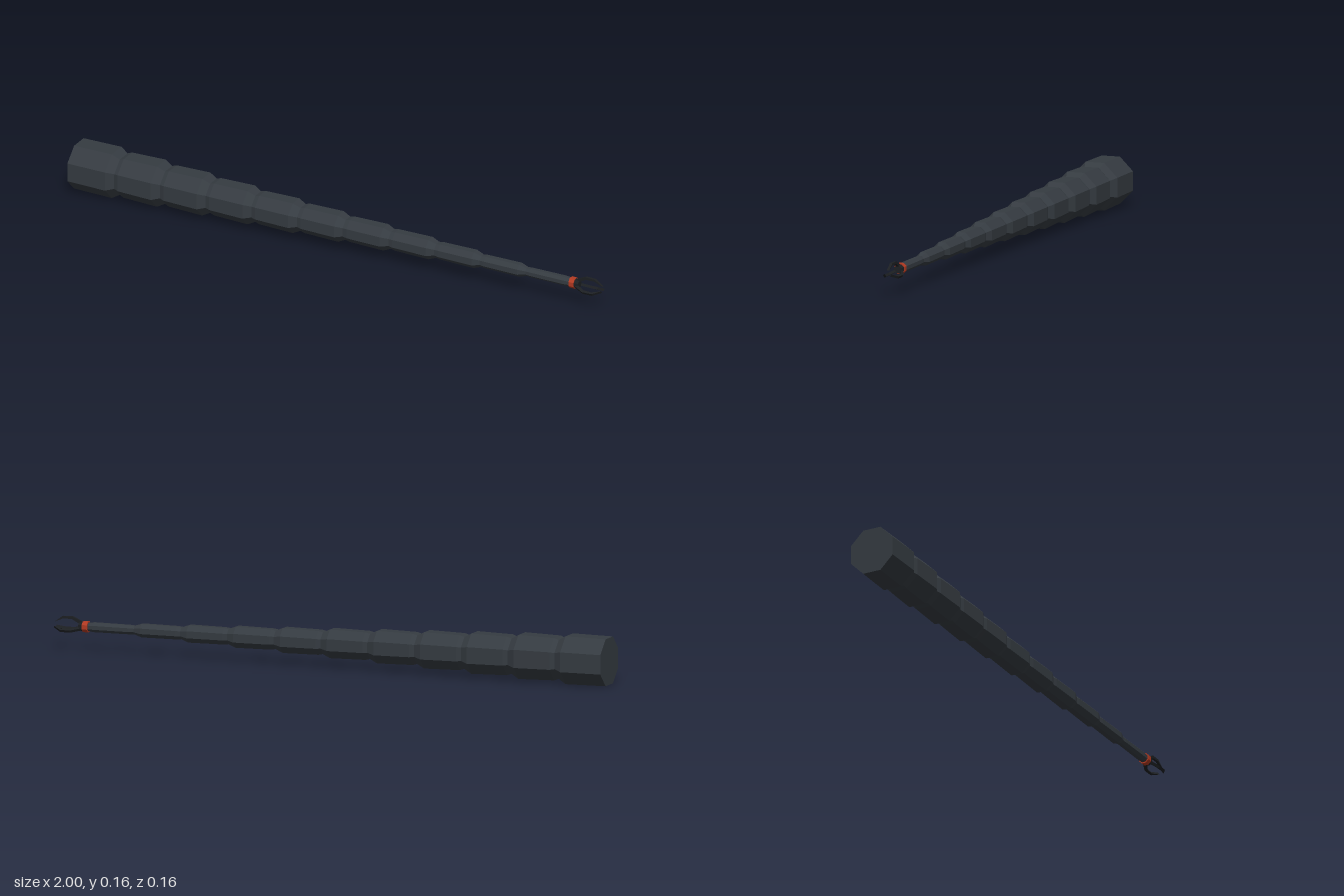
import * as THREE from 'three';

const CENTRE_Y = 0.081;

export function createModel() {
  const shell = new THREE.MeshStandardMaterial({ color: 0x353b41 });
  shell.name = 'dark slate';
  const clawMetal = new THREE.MeshStandardMaterial({ color: 0x1c1f22 });
  clawMetal.name = 'claw black';
  const accent = new THREE.MeshStandardMaterial({ color: 0xb23a22 });
  accent.name = 'rust red';

  const arm = new THREE.Group();
  arm.name = 'tentacleArm';
  arm.position.y = CENTRE_Y;

  // Facetted octagonal solid along x; profile gives [x, half height across flats]
  function octagon(name, profile, material) {
    const points = profile.map(([x, r]) => new THREE.Vector2(r / Math.cos(Math.PI / 8), x));
    const lathe = new THREE.LatheGeometry(points, 8);
    lathe.rotateY(Math.PI / 8);
    lathe.rotateZ(-Math.PI / 2);
    const geometry = lathe.toNonIndexed();
    geometry.computeVertexNormals();
    const mesh = new THREE.Mesh(geometry, material);
    mesh.name = name;
    arm.add(mesh);
  }

  // Eleven overlapping segments, shrinking toward the tip
  const count = 11;
  const pitch = 0.1712;
  const radius = (i) => 0.081 - i * 0.0065;
  for (let i = 0; i < count; i++) {
    const x = -1 + i * pitch;
    const r = radius(i);
    const end = x + pitch;
    const neck = i < count - 1 ? radius(i + 1) * 0.88 : r * 0.85;
    const profile = [[x, 0]];
    if (i === 0) profile.push([x, r * 0.98]);
    else profile.push([x, r * 0.88], [x + 0.016, r * 0.96]);
    profile.push([end - 0.027, r], [end, neck], [end, 0]);
    octagon('segment' + (i + 1), profile, shell);
  }

  // Wrist ring and claw hub
  octagon('wristRing', [[0.878, 0], [0.878, 0.018], [0.897, 0.018], [0.897, 0]], accent);
  octagon('clawHub', [[0.895, 0], [0.895, 0.016], [0.912, 0.013], [0.912, 0]], clawMetal);

  // Three bent claws around the hub
  const outline = new THREE.Shape([
    [0.9, 0.007], [0.915, 0.011], [0.938, 0.023], [0.968, 0.024], [1.0, 0.011],
    [0.972, 0.031], [0.936, 0.032], [0.905, 0.018], [0.9, 0.016],
  ].map(([x, y]) => new THREE.Vector2(x, y)));
  const clawGeometry = new THREE.ExtrudeGeometry(outline, { depth: 0.009, bevelEnabled: false });
  clawGeometry.translate(0, 0, -0.0045);
  for (let i = 0; i < 3; i++) {
    const claw = new THREE.Mesh(clawGeometry, clawMetal);
    claw.name = 'claw' + (i + 1);
    claw.rotation.x = (i * Math.PI * 2) / 3;
    arm.add(claw);
  }

  const model = new THREE.Group();
  model.name = 'mechanicalTentacle';
  model.add(arm);
  return model;
}
